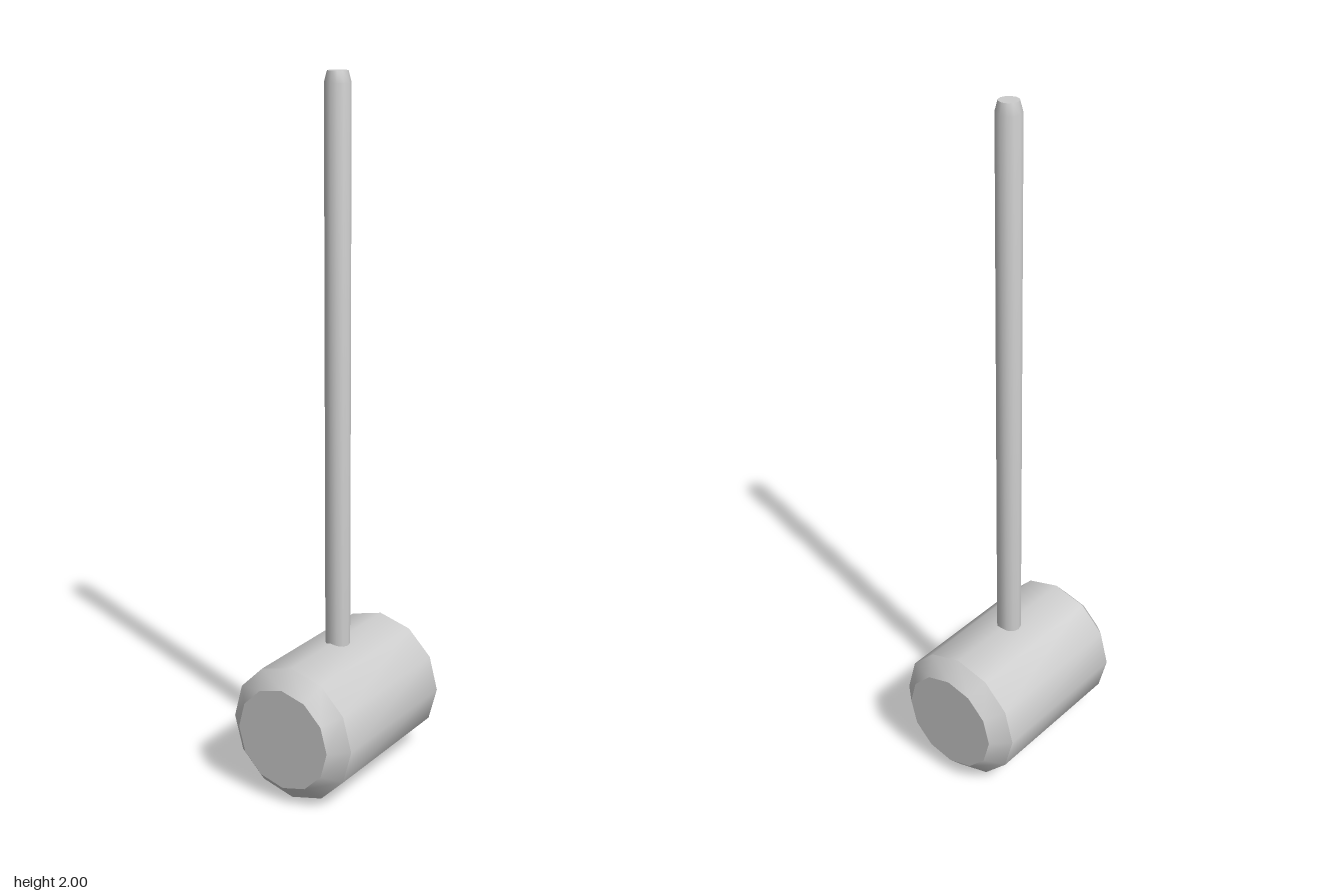
import * as THREE from 'three';
import { toCreasedNormals } from 'three/addons/utils/BufferGeometryUtils.js';

const SIDES = 12;

// Twelve-sided turned part from [radius, height] pairs, bottom to top;
// smooth around the sides, sharp at the chamfers and caps.
function turned(name, profile, material) {
  const points = profile.map(([r, y]) => new THREE.Vector2(r, y));
  const geometry = toCreasedNormals(new THREE.LatheGeometry(points, SIDES), 0.6);
  const mesh = new THREE.Mesh(geometry, material);
  mesh.name = name;
  return mesh;
}

export function createModel() {
  const group = new THREE.Group();
  group.name = 'mallet';
  const material = new THREE.MeshStandardMaterial({ color: 0xcccccc });

  // Barrel-shaped head with chamfered striking faces, lying along z
  const head = turned('head', [
    [0, -0.278], [0.15, -0.278], [0.2, -0.232],
    [0.2, 0.232], [0.15, 0.278], [0, 0.278],
  ], material);
  head.rotation.x = Math.PI / 2;
  head.position.y = 0.2;

  // Slim handle sunk into the head, with a tapered tip
  const handle = turned('handle', [
    [0, 0.2], [0.036, 0.2], [0.036, 1.97], [0.028, 2], [0, 2],
  ], material);

  group.add(head, handle);
  return group;
}
